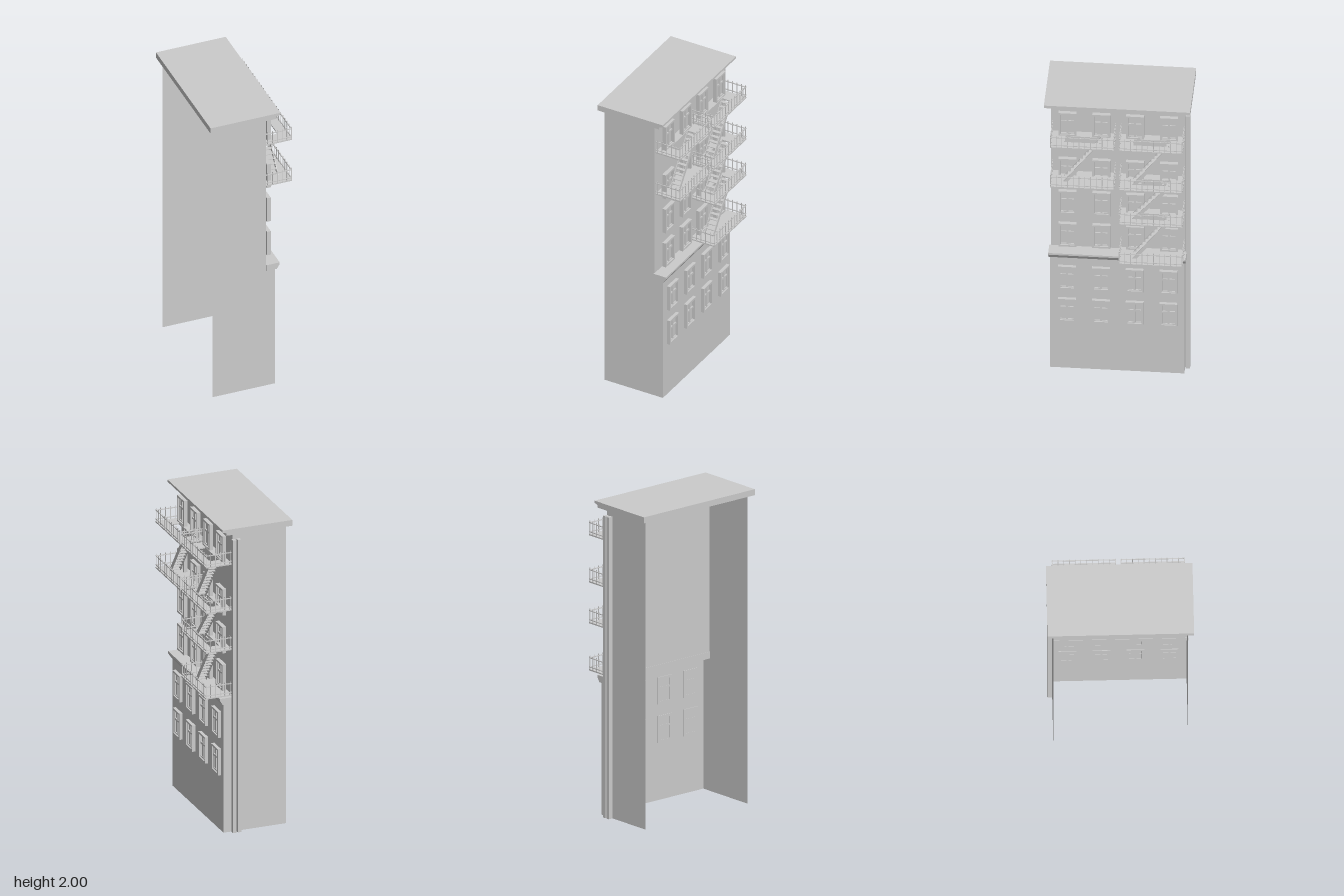
import * as THREE from 'three';

const mat = new THREE.MeshStandardMaterial({ color: 0xcccccc, flatShading: true });
const sheet = new THREE.MeshStandardMaterial({ color: 0xcccccc, flatShading: true, side: THREE.DoubleSide });

function add(parent, geometry, name, material = mat) {
  const mesh = new THREE.Mesh(geometry, material);
  mesh.name = name;
  parent.add(mesh);
  return mesh;
}

// Box given by its min and max along each axis
function box(parent, name, x0, x1, y0, y1, z0, z1) {
  const mesh = add(parent, new THREE.BoxGeometry(x1 - x0, y1 - y0, z1 - z0), name);
  mesh.position.set((x0 + x1) / 2, (y0 + y1) / 2, (z0 + z1) / 2);
  return mesh;
}

const polygon = (points) => new THREE.Shape(points.map(([x, y]) => new THREE.Vector2(x, y)));
const rectPath = (x0, x1, y0, y1) =>
  new THREE.Path([[x0, y0], [x0, y1], [x1, y1], [x1, y0]].map(([x, y]) => new THREE.Vector2(x, y)));

// Profile in x and y, run along z and centred
function moulding(parent, name, points, length) {
  const geometry = new THREE.ExtrudeGeometry(polygon(points), { depth: length, bevelEnabled: false });
  return add(parent, geometry.translate(0, 0, -length / 2), name);
}

const BACK = -0.25, UPPER = 0.102, LOWER = 0.16, HALF = 0.41, LEDGE = 0.86, TOP = 1.97;

function buildShell() {
  const shell = new THREE.Group();
  shell.name = 'walls';
  // Side walls step back above the ledge; the rear is open
  const side = new THREE.ShapeGeometry(polygon([
    [BACK, 0], [LOWER, 0], [LOWER, LEDGE], [UPPER, LEDGE], [UPPER, TOP], [BACK, TOP]]));
  for (const s of [-1, 1]) add(shell, side, 'sideWall', sheet).position.z = s * HALF;
  for (const [name, x, y0, y1] of [['lowerFacade', LOWER, 0, LEDGE], ['upperFacade', UPPER, LEDGE, TOP]]) {
    const wall = add(shell, new THREE.PlaneGeometry(2 * HALF, y1 - y0).rotateY(Math.PI / 2), name, sheet);
    wall.position.set(x, (y0 + y1) / 2, 0);
  }
  moulding(shell, 'ledge', [[0.1, 0.842], [0.168, 0.842], [0.187, 0.872], [0.187, 0.885], [0.1, 0.885]], 0.838);
  moulding(shell, 'roofCornice', [
    [-0.277, 1.962], [0.155, 1.962], [0.155, 1.978], [0.18, 1.986], [0.18, 2], [-0.277, 2]], 0.892);
  // Pair of vertical pipes on the rear-side wall
  for (const x of [0.055, 0.088]) box(shell, 'drainPipe', x, x + 0.022, 0, 1.92, -0.44, -0.412);
  return shell;
}

// Window frame with four openings, panes set back behind it
function buildWindows() {
  const windows = new THREE.Group();
  windows.name = 'windows';
  const W = 0.055, H = 0.086, split = 0.018;
  const frameShape = polygon([[-W, -H], [W, -H], [W, H], [-W, H]]);
  const sashShape = polygon([[-W + 0.008, -H + 0.008], [W - 0.008, -H + 0.008], [W - 0.008, H - 0.008], [-W + 0.008, H - 0.008]]);
  frameShape.holes.push(rectPath(-W + 0.012, W - 0.012, -H + 0.012, H - 0.012));
  for (const [x0, x1] of [[-0.039, -0.006], [0.006, 0.039]]) {
    sashShape.holes.push(rectPath(x0, x1, -H + 0.017, split - 0.006));
    sashShape.holes.push(rectPath(x0, x1, split + 0.006, H - 0.017));
  }
  const extrude = (shape, depth) =>
    new THREE.ExtrudeGeometry(shape, { depth, bevelEnabled: false }).rotateY(Math.PI / 2);
  const frame = extrude(frameShape, 0.025);
  const sash = extrude(sashShape, 0.016);
  const pane = new THREE.BoxGeometry(0.006, 2 * H - 0.02, 2 * W - 0.02).translate(0.005, 0, 0);
  for (const y of [0.449, 0.695, 1.0, 1.246, 1.494, 1.841]) {
    for (const z of [0.305, 0.098, -0.108, -0.315]) {
      const unit = new THREE.Group();
      unit.name = 'window';
      add(unit, frame, 'windowFrame');
      add(unit, sash, 'windowSash');
      add(unit, pane, 'windowPane');
      unit.position.set(y < LEDGE ? 0.156 : 0.127, y, z);
      windows.add(unit);
    }
  }
  return windows;
}

// Balcony around z = 0 with its floor top at y = 0
const B = 0.195, IN = 0.104, OUT = 0.275, STAIR = [0.155, 0.215], RUN = 0.11;

function buildBalcony(hasHatch) {
  const balcony = new THREE.Group();
  balcony.name = 'balcony';
  // Floor plate drawn in x and z, with a hatch where a flight arrives
  const plate = polygon([[IN, -B], [OUT, -B], [OUT, B], [IN, B]]);
  if (hasHatch) plate.holes.push(rectPath(STAIR[0], STAIR[1], -RUN, RUN));
  add(balcony, new THREE.ExtrudeGeometry(plate, { depth: 0.008, bevelEnabled: false })
    .rotateX(Math.PI / 2), 'balconyFloor');
  // Rails on the three open sides
  for (const y of [0.012, 0.07]) {
    box(balcony, 'frontRail', OUT - 0.006, OUT, y, y + 0.005, -B, B);
    for (const s of [-1, 1]) {
      const z = s * (B - 0.003);
      box(balcony, 'endRail', IN, OUT, y, y + 0.005, z - 0.003, z + 0.003);
    }
  }
  // Balusters
  const post = (x, z) => box(balcony, 'baluster', x - 0.002, x + 0.002, -0.004, 0.086, z - 0.002, z + 0.002);
  const count = 11;
  for (let i = 0; i <= count; i++) post(OUT - 0.003, (B - 0.003) * (2 * i / count - 1));
  for (let i = 0; i < 5; i++) {
    for (const s of [-1, 1]) post(IN + 0.012 + i * 0.032, s * (B - 0.003));
  }
  return balcony;
}

// Flight rising by the given height towards -z
function buildStairs(rise) {
  const stairs = new THREE.Group();
  stairs.name = 'stairs';
  const length = Math.hypot(2 * RUN, rise) + 0.02;
  for (const x of STAIR) {
    const stringer = add(stairs, new THREE.BoxGeometry(0.004, 0.022, length), 'stringer');
    stringer.position.set(x, rise / 2 - 0.008, 0);
    stringer.rotation.x = Math.atan2(rise, 2 * RUN);
  }
  const steps = Math.round(rise / 0.026);
  for (let i = 0; i < steps; i++) {
    const t = (i + 0.5) / steps, y = t * rise - 0.005, z = RUN - 2 * RUN * t;
    box(stairs, 'tread', STAIR[0], STAIR[1], y - 0.002, y + 0.002, z - 0.011, z + 0.011);
  }
  return stairs;
}

function buildFireEscape(z, levels) {
  const escape = new THREE.Group();
  escape.name = 'fireEscape';
  levels.forEach((y, i) => {
    const balcony = buildBalcony(i > 0);
    balcony.position.y = y;
    escape.add(balcony);
    if (i > 0) {
      const stairs = buildStairs(y - levels[i - 1]);
      stairs.position.y = levels[i - 1];
      escape.add(stairs);
    }
  });
  escape.position.z = z;
  return escape;
}

export function createModel() {
  const model = new THREE.Group();
  model.name = 'apartmentBuilding';
  model.add(buildShell(), buildWindows());
  model.add(buildFireEscape(-0.213, [0.898, 1.198, 1.458, 1.758]));
  model.add(buildFireEscape(0.206, [1.458, 1.758]));
  return model;
}
